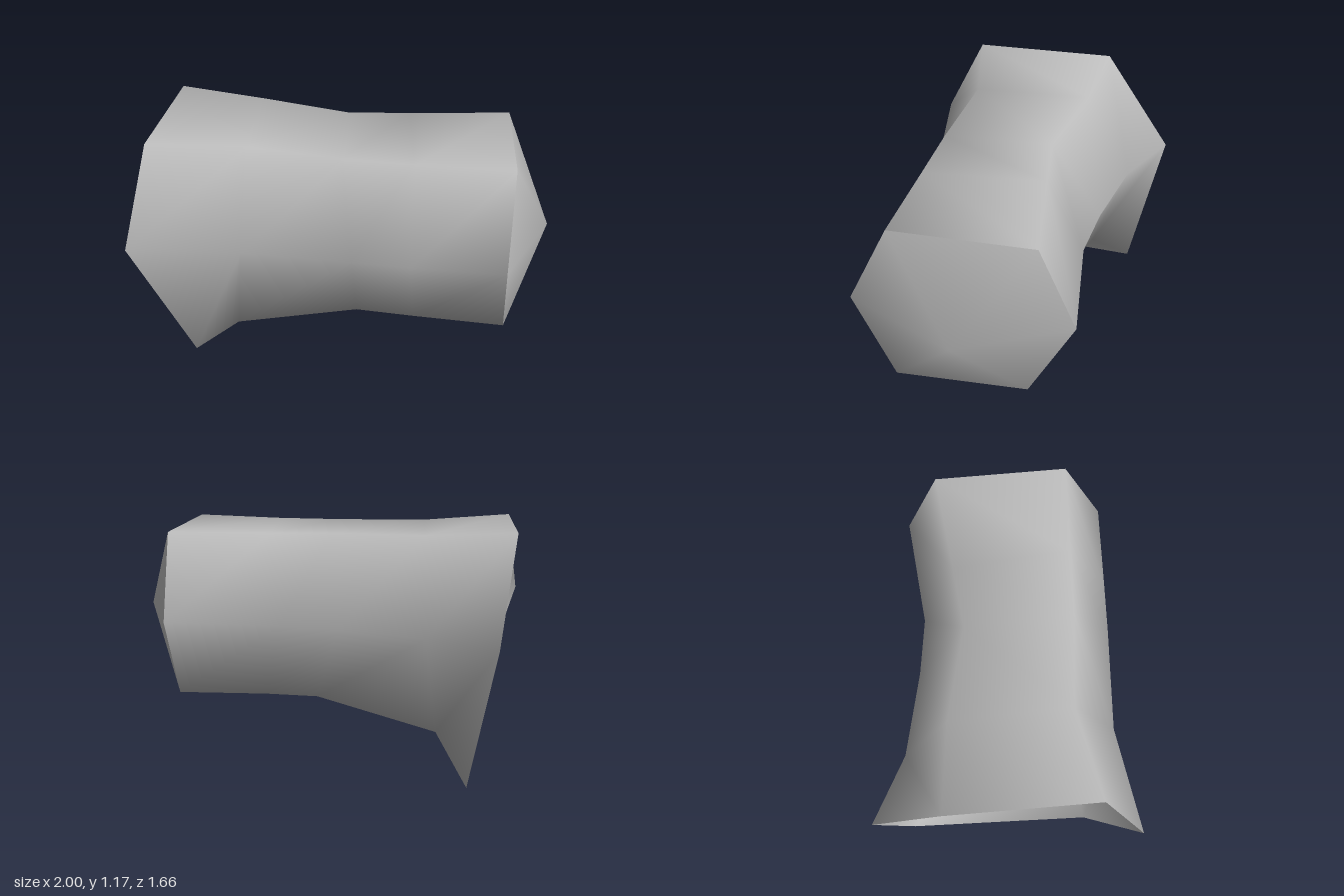
import * as THREE from 'three';

// Six-sided cross-sections from the flared open end to the closed end.
// Corner order: top front, top back, back, bottom back, bottom front, front.
const RINGS = [
  [[-0.87, 1.175, 0.15], [-0.67, 1.175, -0.52], [-0.49, 0.71, -0.83], [-0.42, 0, -0.65], [-0.72, 0.045, 0.22], [-1, 0.74, 0.34]],
  [[-0.42, 1.15, 0.2], [-0.28, 1.15, -0.35], [-0.23, 0.71, -0.57], [-0.33, 0.2, -0.42], [-0.5, 0.2, 0.24], [-0.48, 0.72, 0.42]],
  [[0.0, 1.14, 0.38], [0.12, 1.14, -0.12], [0.14, 0.72, -0.36], [0.2, 0.31, -0.1], [0.07, 0.32, 0.4], [0.0, 0.73, 0.6]],
  [[0.3, 1.14, 0.49], [0.42, 1.14, -0.06], [0.4, 0.72, -0.24], [0.45, 0.32, -0.04], [0.33, 0.32, 0.5], [0.25, 0.73, 0.69]],
  [[0.72, 1.15, 0.64], [0.9, 1.145, 0.03], [0.94, 0.735, -0.13], [0.88, 0.32, 0.07], [0.73, 0.33, 0.66], [0.65, 0.74, 0.83]],
];
const CAP_CENTRE = [1, 0.72, 0.41];
const SIDES = 6;

function meshFrom(name, points, index, material) {
  const geometry = new THREE.BufferGeometry();
  geometry.setAttribute('position', new THREE.Float32BufferAttribute(points.flat(), 3));
  geometry.setIndex(index);
  geometry.computeVertexNormals();
  const mesh = new THREE.Mesh(geometry, material);
  mesh.name = name;
  return mesh;
}

export function createModel() {
  const group = new THREE.Group();
  group.name = 'flaredTube';
  const grey = new THREE.MeshStandardMaterial({ color: 0xbbbbbb, side: THREE.DoubleSide });
  grey.name = 'plain grey';

  // Tube wall, lofted through the rings and open at the flared end
  const wall = [];
  for (let r = 0; r < RINGS.length - 1; r++) {
    for (let k = 0; k < SIDES; k++) {
      const a = r * SIDES + k;
      const b = r * SIDES + (k + 1) % SIDES;
      const c = a + SIDES;
      const d = b + SIDES;
      wall.push(a, c, d, a, d, b);
    }
  }
  group.add(meshFrom('tubeWall', RINGS.flat(), wall, grey));

  // Slightly pointed end cap, kept separate for a sharp rim
  const cap = [];
  for (let k = 0; k < SIDES; k++) cap.push(SIDES, (k + 1) % SIDES, k);
  group.add(meshFrom('endCap', [...RINGS[RINGS.length - 1], CAP_CENTRE], cap, grey));

  return group;
}
